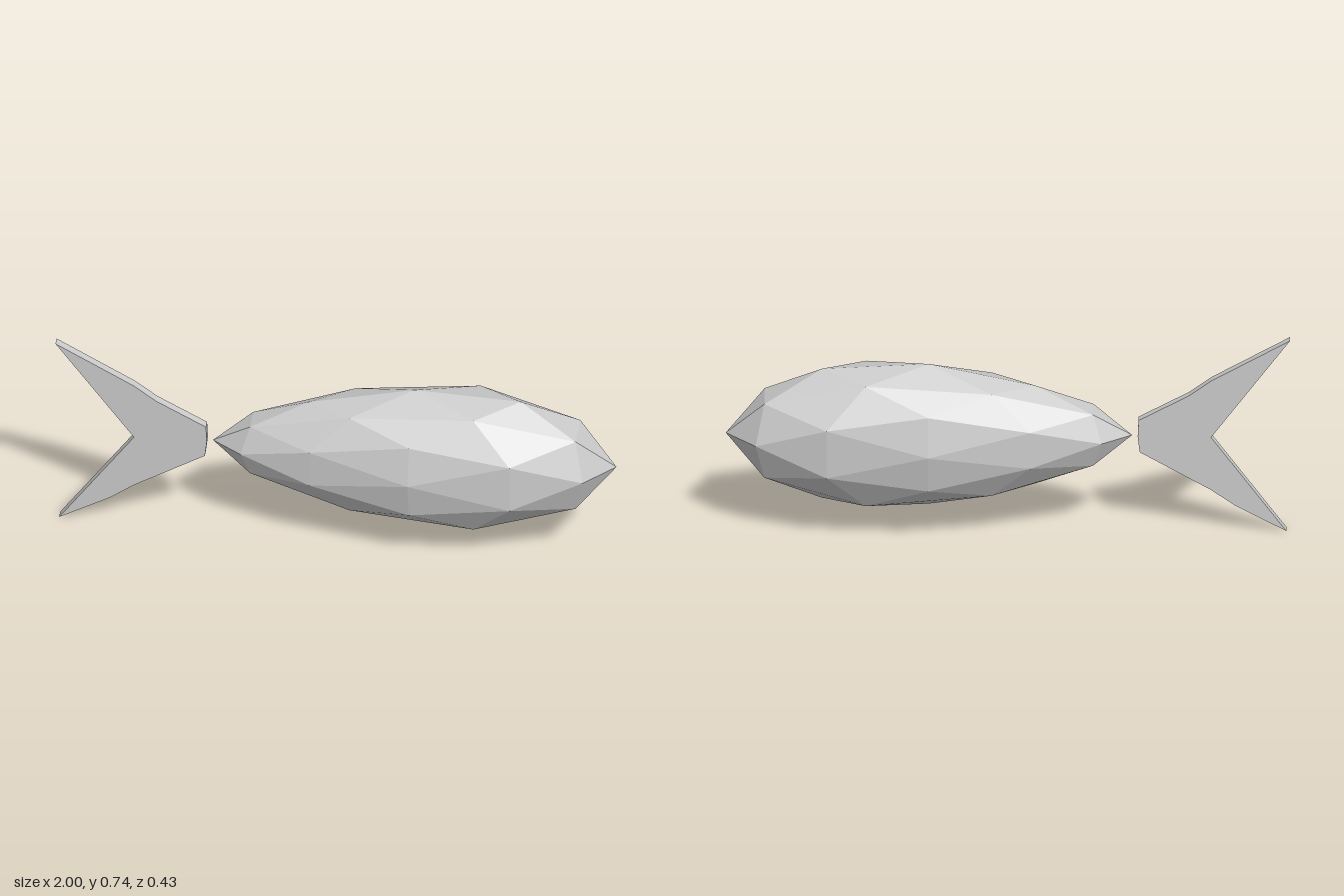
import * as THREE from 'three';

const material = new THREE.MeshStandardMaterial({ color: 0xcccccc, flatShading: true });

// Girth along the body: narrows toward the tail, swells behind the nose
function girth(x) {
  if (x < 0) return 1 + 0.34 * x;
  return 1 + 0.18 * x - 0.3 * Math.max(0, x - 0.5);
}

// Faceted body: a stretched low-poly sphere with a tapered rear
function createBody() {
  const geometry = new THREE.IcosahedronGeometry(1, 1);
  const p = geometry.attributes.position;
  for (let i = 0; i < p.count; i++) {
    const x = p.getX(i);
    const g = girth(x);
    p.setXYZ(i, 0.28 + 0.72 * x, 0.364 + 0.271 * g * p.getY(i), 0.215 * g * p.getZ(i));
  }
  geometry.computeVertexNormals();
  const body = new THREE.Mesh(geometry, material);
  body.name = 'body';
  return body;
}

// Forked tail fin: a flat plate of even thickness
function createTailFin() {
  const outline = [
    [-1, 0.741], [-0.72, 0.364], [-0.987, 0.002], [-0.805, 0.1], [-0.72, 0.16],
    [-0.467, 0.305], [-0.46, 0.365], [-0.463, 0.428], [-0.64, 0.524], [-0.72, 0.583],
  ].map(([x, y]) => new THREE.Vector2(x, y));
  const depth = 0.034;
  const geometry = new THREE.ExtrudeGeometry(new THREE.Shape(outline), { depth, bevelEnabled: false });
  geometry.translate(0, 0, -depth / 2);
  const fin = new THREE.Mesh(geometry, material);
  fin.name = 'tailFin';
  return fin;
}

export function createModel() {
  const fish = new THREE.Group();
  fish.name = 'fish';
  fish.add(createBody(), createTailFin());
  return fish;
}
